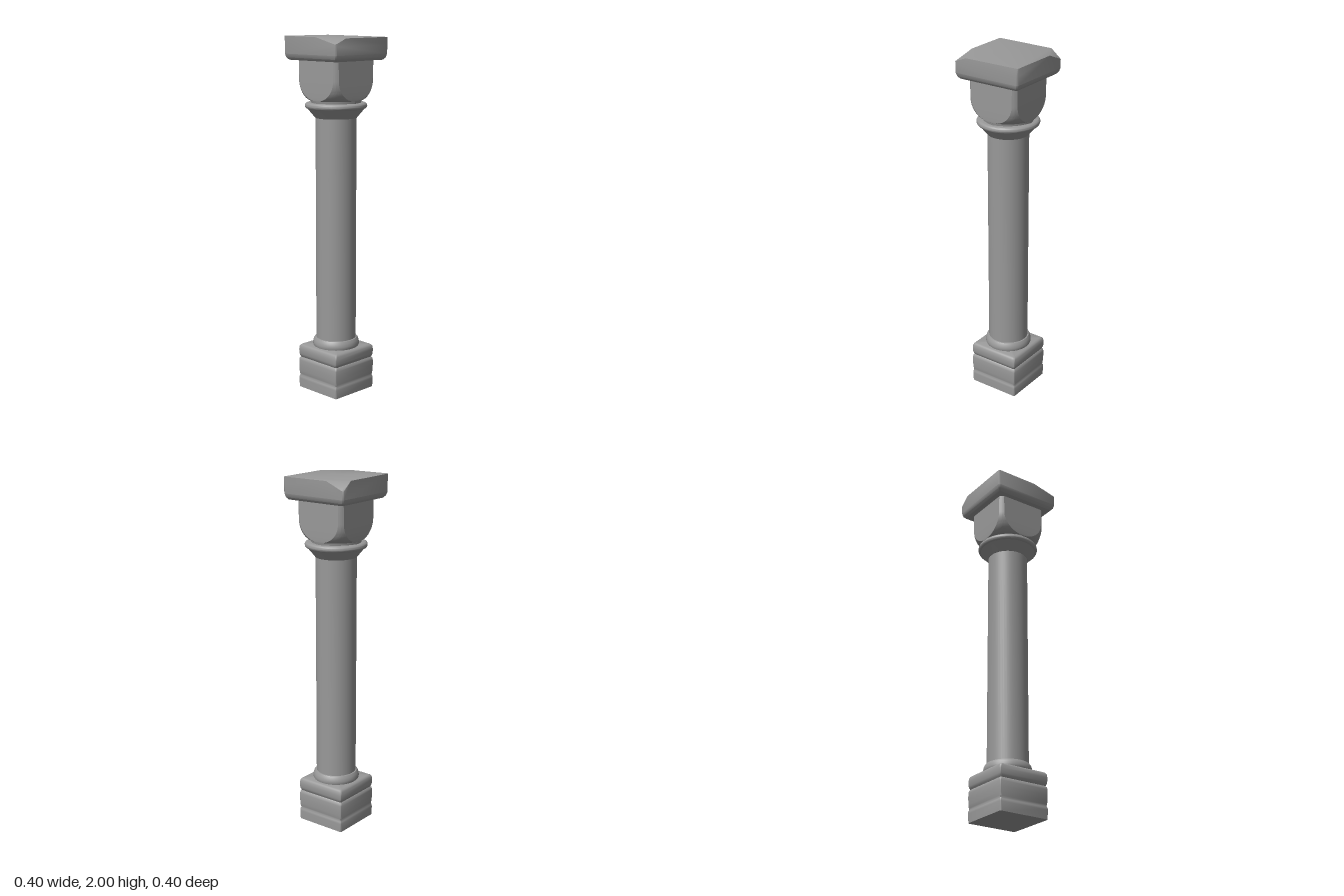
import * as THREE from 'three';
import { toCreasedNormals } from 'three/addons/utils/BufferGeometryUtils.js';
import { ConvexGeometry } from 'three/addons/geometries/ConvexGeometry.js';

const material = new THREE.MeshStandardMaterial({ color: 0x999999 });

function part(name, geometry, crease = 0.6) {
  const mesh = new THREE.Mesh(toCreasedNormals(geometry, crease), material);
  mesh.name = name;
  return mesh;
}

// Skin rounded-square rings [y, half width, half width of the flat side, corner flattening], bottom to top
function squareLoft(rings, arc = 10) {
  const points = [], index = [], n = 4 * (arc + 1);
  for (const [y, half, flat, flatten = 0] of rings) {
    for (let corner = 0; corner < 4; corner++) {
      const mid = (corner + 0.5) * Math.PI / 2;
      const cx = Math.sign(Math.cos(mid)) * flat, cz = Math.sign(Math.sin(mid)) * flat;
      for (let i = 0; i <= arc; i++) {
        const t = (corner + i / arc) * Math.PI / 2;
        // Pull the arc toward its chord
        const chord = 1 / (Math.abs(Math.cos(t)) + Math.abs(Math.sin(t)));
        const r = (half - flat) * THREE.MathUtils.lerp(1, chord, flatten);
        points.push(cx + r * Math.cos(t), y, cz + r * Math.sin(t));
      }
    }
  }
  for (let r = 0; r < rings.length - 1; r++) {
    for (let i = 0; i < n; i++) {
      const a = r * n + i, b = r * n + (i + 1) % n;
      index.push(a, a + n, b, b, a + n, b + n);
    }
  }
  const geometry = new THREE.BufferGeometry();
  geometry.setAttribute('position', new THREE.Float32BufferAttribute(points, 3));
  geometry.setIndex(index);
  return geometry;
}

function turned(name, profile) {
  const points = profile.map(([r, y]) => new THREE.Vector2(r, y));
  return part(name, new THREE.LatheGeometry(points, 48));
}

export function createModel() {
  const column = new THREE.Group();
  column.name = 'column';

  // Square base with two shallow worn grooves
  const baseProfile = [
    [0, 0.001], [0, 0.15], [0.05, 0.152], [0.063, 0.151], [0.071, 0.147], [0.08, 0.149],
    [0.1, 0.151], [0.13, 0.152], [0.16, 0.152], [0.173, 0.15], [0.18, 0.144],
    [0.188, 0.148], [0.2, 0.151], [0.225, 0.152], [0.243, 0.15], [0.252, 0.145],
    [0.257, 0.136], [0.257, 0.001],
  ];
  column.add(part('base', squareLoft(
    baseProfile.map(([y, h]) => [y, h, Math.max(h - 0.008, h * 0.5)]), 4), 0.85));

  // Rounded foot ring
  column.add(turned('footRing', [
    [0.125, 0.25], [0.131, 0.262], [0.131, 0.275], [0.127, 0.292], [0.119, 0.304], [0.1, 0.307],
  ]));

  column.add(turned('shaft', [[0.1125, 0.29], [0.1125, 1.57]]));

  // Flared neck and the bead above it
  column.add(turned('neck', [[0.1, 1.556], [0.115, 1.556], [0.133, 1.578], [0.158, 1.608]]));
  const bead = [[0.14, 1.604]];
  for (let i = 0; i <= 10; i++) {
    const t = (i / 10 - 0.5) * Math.PI;
    bead.push([0.155 + 0.016 * Math.cos(t), 1.623 + 0.017 * Math.sin(t)]);
  }
  bead.push([0.12, 1.641]);
  column.add(turned('bead', bead));

  // Cushion block: round below, square above, with U-shaped flat faces
  const cushion = [[1.635, 0.145, 0.004, 0.25]];
  for (let i = 0; i <= 18; i++) {
    const t = i / 18 * Math.PI / 2;
    cushion.push([
      1.765 - 0.112 * Math.cos(t), 0.149 + 0.003 * Math.sin(t),
      0.004 + 0.126 * Math.sin(t), 0.25 + 0.45 * Math.sin(t),
    ]);
  }
  cushion.push([1.875, 0.152, 0.132, 0.7]);
  column.add(part('cushionCapital', squareLoft(cushion), 0.22));

  // Top slab: bevelled underside and two chipped opposite corners
  const slab = [];
  const addCorners = (y, half, cut) => {
    for (const sx of [-1, 1]) for (const sz of [-1, 1]) {
      slab.push(new THREE.Vector3(sx * half, y, sz * (half - cut)));
      slab.push(new THREE.Vector3(sx * (half - cut), y, sz * half));
    }
  };
  addCorners(1.87, 0.182, 0.006);
  addCorners(1.883, 0.194, 0.007);
  addCorners(1.903, 0.2, 0.008);
  addCorners(1.95, 0.2, 0.008);
  for (const [x, y, z] of [
    [0.2, 1.992, 0.192], [0.192, 1.992, 0.197],
    [-0.2, 1.998, -0.192], [-0.192, 1.998, -0.2],
    [0.2, 1.993, -0.09], [0.135, 1.996, -0.2],
    [-0.2, 1.996, 0.05], [-0.125, 1.992, 0.2],
    [-0.2, 1.962, 0.192], [-0.192, 1.965, 0.2], [0, 2, 0],
  ]) slab.push(new THREE.Vector3(x, y, z));
  column.add(part('topSlab', new ConvexGeometry(slab), 0.8));

  return column;
}
